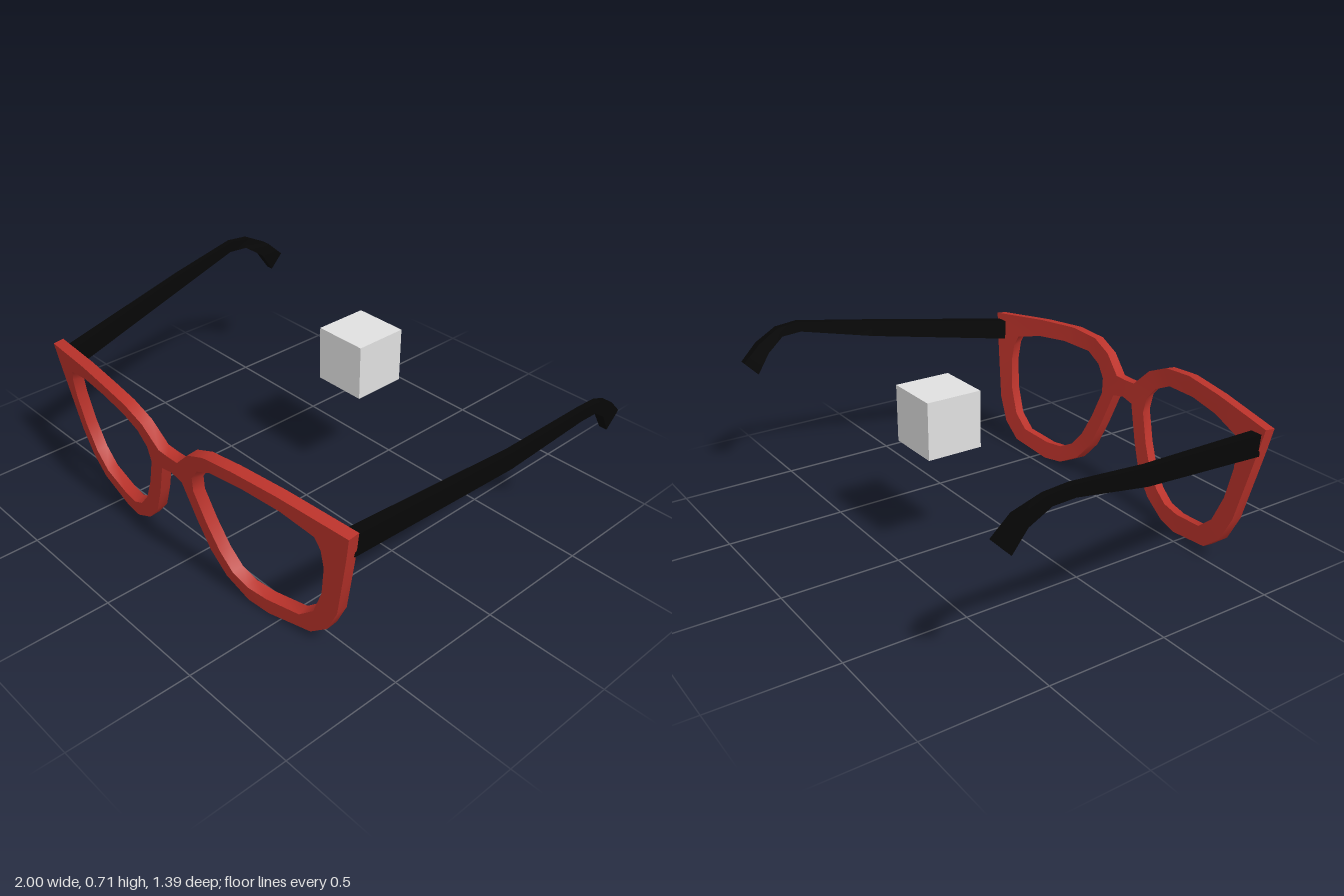
import * as THREE from 'three';
import { toCreasedNormals } from 'three/addons/utils/BufferGeometryUtils.js';

// Half of the rim, clockwise from the bridge top: outline x, y, then lens opening x, y
const RIM = [
  [0.056, 0.513, 0.136, 0.487], [0.136, 0.591, 0.18, 0.542], [0.233, 0.633, 0.26, 0.58],
  [0.377, 0.645, 0.42, 0.587], [0.575, 0.634, 0.58, 0.572], [0.868, 0.602, 0.72, 0.535],
  [0.85, 0.51, 0.742, 0.487], [0.83, 0.42, 0.746, 0.406], [0.782, 0.209, 0.722, 0.273],
  [0.728, 0.1, 0.672, 0.155], [0.645, 0.032, 0.6, 0.092], [0.446, 0, 0.446, 0.073],
  [0.35, 0.012, 0.356, 0.08], [0.243, 0.07, 0.286, 0.118], [0.168, 0.155, 0.227, 0.187],
  [0.115, 0.273, 0.174, 0.294], [0.06, 0.425, 0.128, 0.42],
];
const DEPTH = 0.046;

// Temple arm sections: top z, top y, bottom z, bottom y, inner x, outer x
const ARM = [
  [0.564, 0.583, 0.564, 0.495, 0.8, 0.85],
  [-0.08, 0.666, -0.08, 0.594, 0.93, 0.96],
  [-0.42, 0.712, -0.41, 0.665, 0.972, 1],
  [-0.52, 0.702, -0.5, 0.66, 0.968, 0.998],
  [-0.62, 0.652, -0.58, 0.605, 0.945, 0.985],
  [-0.695, 0.582, -0.635, 0.52, 0.942, 0.975],
];

// Front surface of the rim: leans forward at the top, sweeps back at the sides
const frontZ = (x, y) => 0.7 + 0.13 * (y - 0.65) - 0.145 * Math.max(0, Math.abs(x) - 0.3);
const front = ([x, y]) => [x, y, frontZ(x, y)];
const backOuter = ([x, y]) => [x, y + 0.005, frontZ(x, y) - DEPTH];
// The openings narrow slightly toward the back
const backInner = ([x, y]) => {
  const cx = 0.44 * Math.sign(x);
  return [cx + (x - cx) * 0.97, 0.33 + (y - 0.33) * 0.96, frontZ(x, y) - DEPTH];
};

const quad = (out, a, b, c, d) => out.push(...a, ...b, ...c, ...a, ...c, ...d);

// Faces between two lines of points
function strip(out, a, b) {
  for (let i = 0; i < a.length - 1; i++) quad(out, a[i], b[i], b[i + 1], a[i + 1]);
}

function toGeometry(out, crease) {
  const geo = new THREE.BufferGeometry();
  geo.setAttribute('position', new THREE.Float32BufferAttribute(out, 3));
  return toCreasedNormals(geo, crease);
}

function rimGeometry() {
  const out = [];
  const close = (pts) => [...pts, pts[0]];
  const right = RIM;
  const left = RIM.map(([x, y, hx, hy]) => [-x, y, -hx, hy]).reverse();

  // Lens surrounds: front, back and inside walls
  for (const half of [right, left]) {
    const outer = close(half), inner = close(half.map((p) => p.slice(2)));
    strip(out, outer.map(front), inner.map(front));
    strip(out, inner.map(backInner), outer.map(backOuter));
    strip(out, inner.map(front), inner.map(backInner));
  }

  // Bridge front and back
  const topMid = [0, 0.511], lowMid = [0, 0.438], end = RIM.length - 1;
  const top = [left[end], topMid, right[0]], low = [left[0], lowMid, right[end]];
  strip(out, top.map(front), low.map(front));
  strip(out, low.map(backOuter), top.map(backOuter));

  // Outside wall around both lenses and the bridge
  const edge = close([topMid, ...right, lowMid, ...left]);
  strip(out, edge.map(backOuter), edge.map(front));
  return toGeometry(out, 0.9);
}

function armGeometry(side) {
  const out = [];
  const rings = ARM.map(([zt, yt, zb, yb, xi, xo]) => {
    const ring = [[side * xi, yb, zb], [side * xo, yb, zb], [side * xo, yt, zt], [side * xi, yt, zt]];
    return side > 0 ? ring : ring.reverse();
  });
  for (let k = 0; k < rings.length - 1; k++) {
    const r = rings[k], n = rings[k + 1];
    strip(out, [...r, r[0]], [...n, n[0]]);
  }
  quad(out, ...rings[0]);
  quad(out, ...rings[rings.length - 1].reverse());
  return toGeometry(out, 0.3);
}

export function createModel() {
  const material = (name, color) => Object.assign(new THREE.MeshStandardMaterial({ color }), { name });
  const red = material('red', 0xb9322a);
  const black = material('black', 0x060606);
  const grey = material('light grey', 0xe0e0e0);

  const group = new THREE.Group();
  group.name = 'glasses';
  const add = (name, geo, mat) => {
    const mesh = new THREE.Mesh(geo, mat);
    mesh.name = name;
    group.add(mesh);
    return mesh;
  };

  add('frontFrame', rimGeometry(), red);
  add('leftTemple', armGeometry(1), black);
  add('rightTemple', armGeometry(-1), black);
  // Loose cube between the temples
  add('cube', new THREE.BoxGeometry(0.232, 0.232, 0.232), grey).position.set(0, 0.569, -0.298);
  return group;
}
